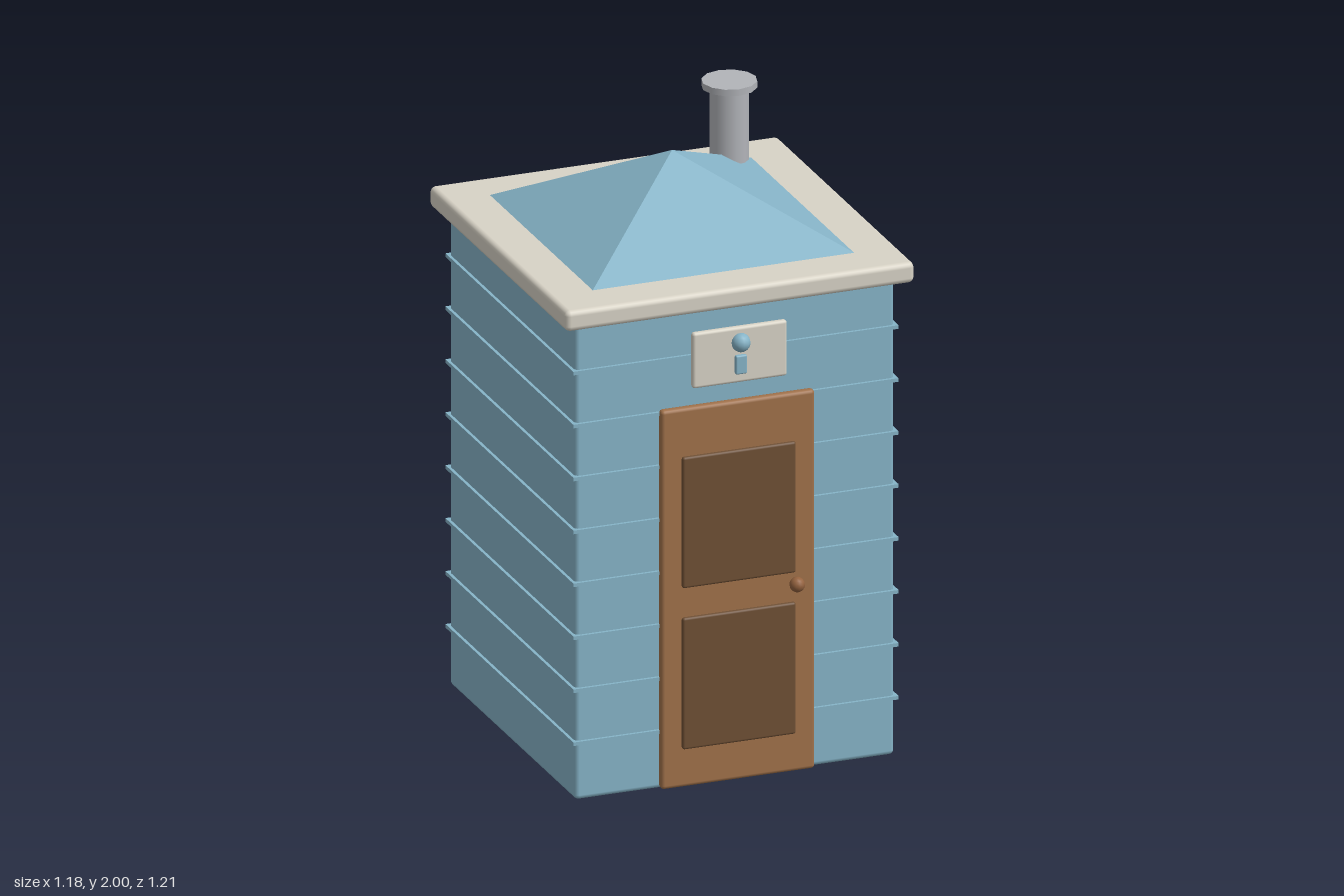
import * as THREE from 'three';
import { RoundedBoxGeometry } from 'three/addons/geometries/RoundedBoxGeometry.js';

const mat = (name, color, flatShading = false) => {
  const m = new THREE.MeshStandardMaterial({ color, flatShading });
  m.name = name;
  return m;
};

export function createModel() {
  const blue = mat('blue paint', 0x86b4c8);
  const roofBlue = mat('blue roof', 0x86b4c8, true);
  const cream = mat('cream trim', 0xd8d3c6);
  const wood = mat('door wood', 0xa0714a);
  const darkWood = mat('dark panel wood', 0x6e4f34);
  const bronze = mat('bronze knob', 0x94623e);
  const metal = mat('grey metal', 0xb2b4b9);

  const model = new THREE.Group();
  const add = (name, geometry, material, x, y, z) => {
    const mesh = new THREE.Mesh(geometry, material);
    mesh.name = name;
    mesh.position.set(x, y, z);
    model.add(mesh);
    return mesh;
  };
  // Rounded block given by its bottom and top height, and its back and front depth
  const block = (name, material, x, w, y0, y1, z0, z1, r) =>
    add(name, new RoundedBoxGeometry(w, y1 - y0, z1 - z0, 2, r), material,
      x, (y0 + y1) / 2, (z0 + z1) / 2);

  const cz = -0.015; // centre of the cabin

  // Cabin walls with thin plank ridges all the way round
  block('walls', blue, 0, 1.08, 0, 1.61, cz - 0.54, cz + 0.54, 0.015);
  for (let i = 0; i < 8; i++) {
    add('plankRidge', new THREE.BoxGeometry(1.1, 0.012, 1.1), blue, 0, 0.195 + i * 0.179, cz);
  }

  // Roof slab and pyramid
  block('roofSlab', cream, 0, 1.18, 1.605, 1.675, cz - 0.59, cz + 0.59, 0.018);
  const pyramid = new THREE.ConeGeometry(0.442 * Math.SQRT2, 0.25, 4).rotateY(Math.PI / 4);
  add('roofPyramid', pyramid, roofBlue, 0, 1.8, cz);

  // Vent pipe with its cap
  add('ventPipe', new THREE.CylinderGeometry(0.063, 0.063, 0.25, 12), metal, 0.32, 1.86, -0.335);
  add('ventCap', new THREE.CylinderGeometry(0.089, 0.089, 0.022, 12), metal, 0.32, 1.989, -0.335);

  // Door, its two panels and knob
  block('door', wood, 0, 0.52, 0.005, 1.285, 0.525, 0.556, 0.012);
  for (const [y0, y1] of [[0.135, 0.58], [0.68, 1.123]]) {
    block('doorPanel', darkWood, 0, 0.384, y0, y1, 0.546, 0.567, 0.008);
  }
  add('doorKnob', new THREE.SphereGeometry(0.025, 12, 8), bronze, 0.19, 0.645, 0.578);

  // Sign plate with a simple figure
  block('signPlate', cream, 0, 0.32, 1.352, 1.54, 0.548, 0.572, 0.01);
  add('signFigureHead', new THREE.SphereGeometry(0.031, 12, 8), blue, 0, 1.49, 0.577);
  block('signFigureBody', blue, 0, 0.038, 1.385, 1.448, 0.565, 0.585, 0.005);

  return model;
}
